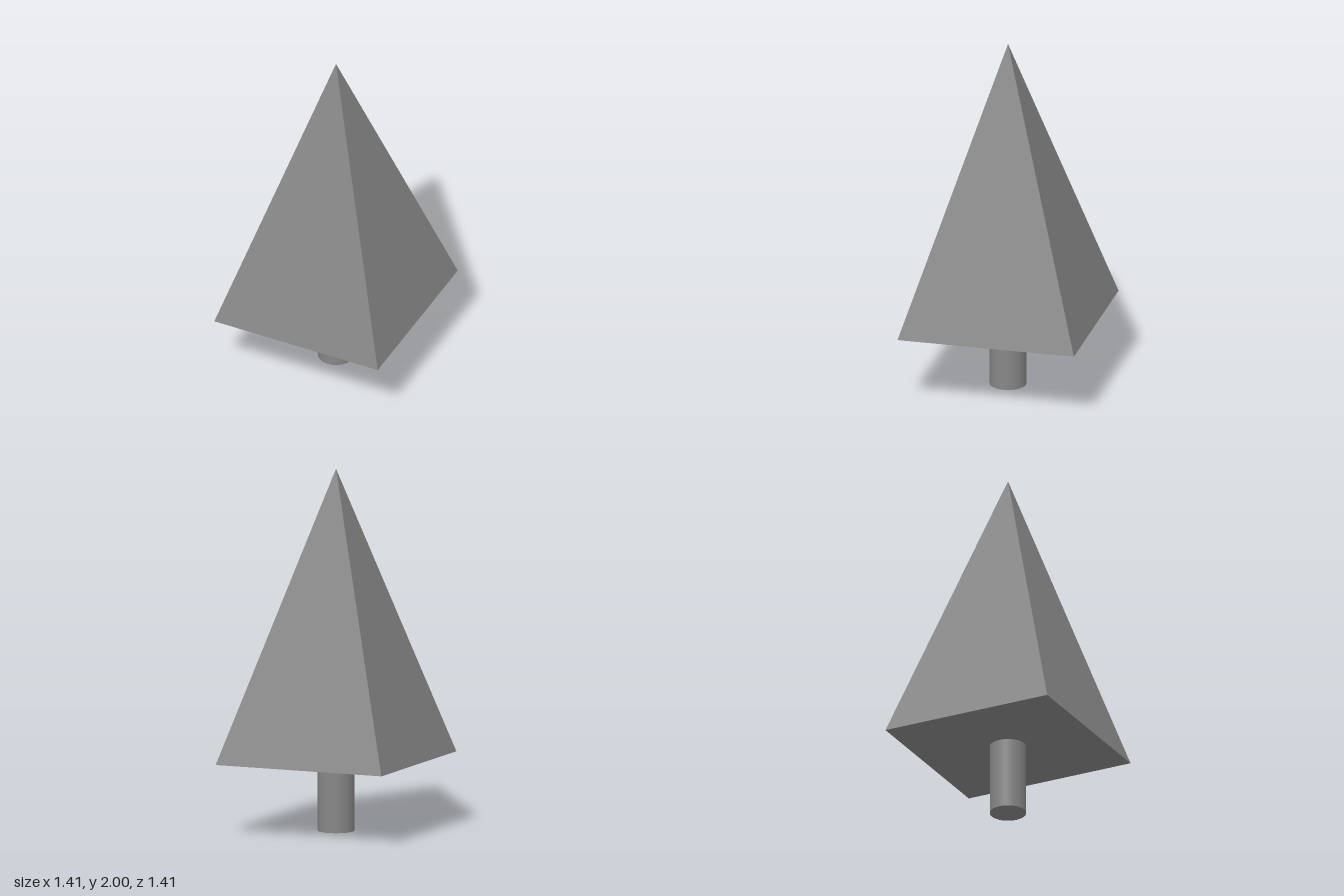
import * as THREE from 'three';

export function createModel() {
  const model = new THREE.Group();
  model.name = 'tree';

  const addPart = (name, geometry, y, flatShading) => {
    const material = new THREE.MeshStandardMaterial({ color: 0x868686, flatShading });
    const mesh = new THREE.Mesh(geometry, material);
    mesh.name = name;
    mesh.position.y = y;
    model.add(mesh);
  };

  // Round trunk, from the ground to the underside of the foliage
  addPart('trunk', new THREE.CylinderGeometry(0.1, 0.1, 0.4, 32), 0.2, false);

  // Four-sided pyramid with its corners on the x and z axes
  addPart('foliage', new THREE.ConeGeometry(0.703, 1.6, 4), 1.2, true);

  return model;
}
